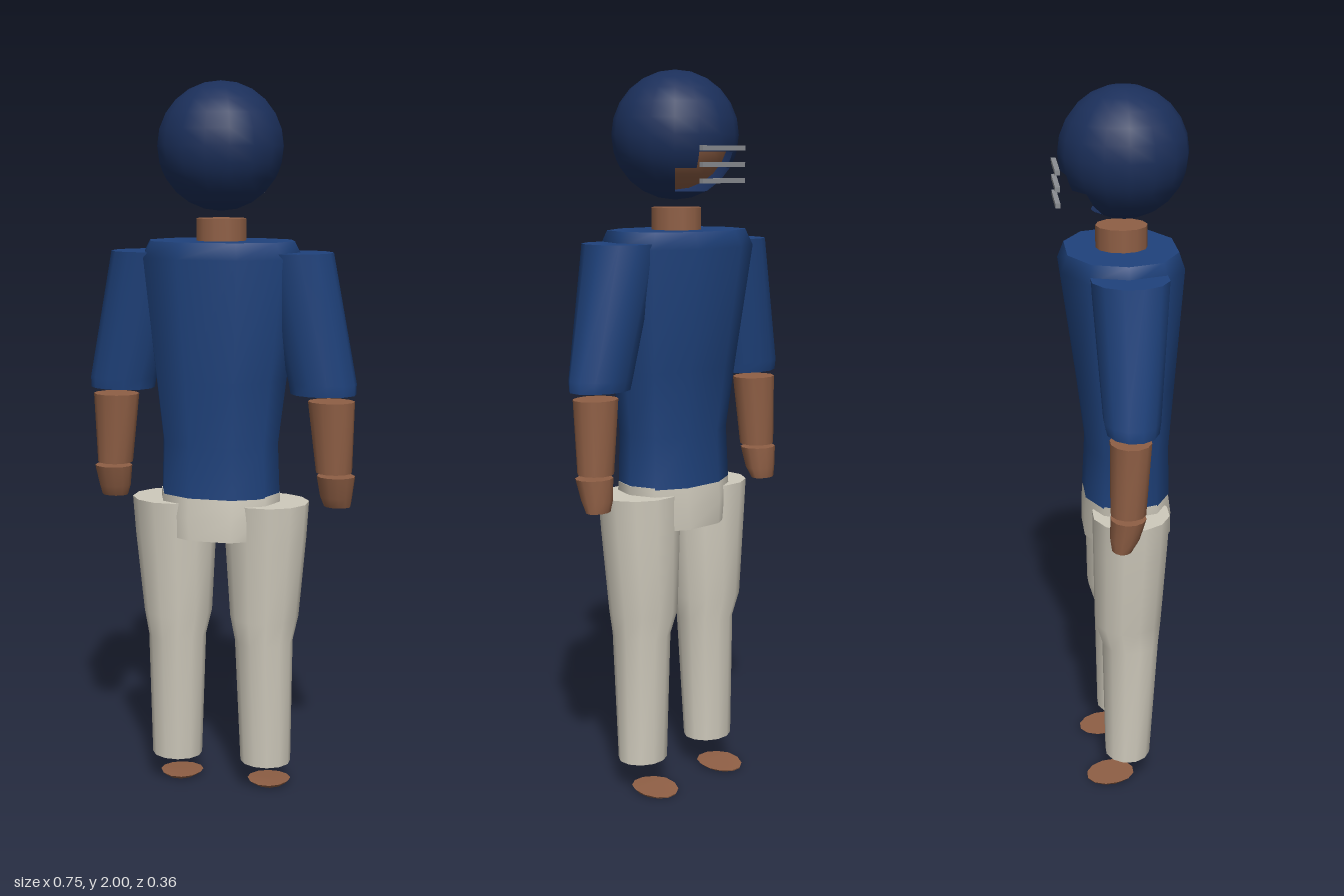
import * as THREE from 'three';
import { mergeGeometries } from 'three/addons/utils/BufferGeometryUtils.js';

const mat = (color) => new THREE.MeshStandardMaterial({ color, side: THREE.DoubleSide });
const jersey = mat(0x1f427c);
const shell = mat(0x1b2f5a);
const skin = mat(0x8f5f45);
const cloth = mat(0xcfcabc);
const metal = mat(0x8a8d92);

// Unit cross-sections as [x, z] pairs
const round = Array.from({ length: 12 }, (_, i) => {
  const t = ((i + 0.5) / 12) * Math.PI * 2;
  return [Math.cos(t) / Math.cos(Math.PI / 12), Math.sin(t) / Math.cos(Math.PI / 12)];
});
const chest = [[1, 0], [0.85, 0.63], [0.36, 1], [-0.36, 1], [-0.85, 0.63],
  [-1, 0], [-0.85, -0.63], [-0.36, -1], [0.36, -1], [0.85, -0.63]];

// Solid through rings [y, xMin, xMax, zMin, zMax], listed bottom to top, with flat caps
function loft(section, rings) {
  const n = section.length, pos = [], idx = [];
  const addRing = ([y, x0, x1, z0, z1]) => section.forEach(([u, v]) =>
    pos.push((x0 + x1) / 2 + (u * (x1 - x0)) / 2, y, (z0 + z1) / 2 + (v * (z1 - z0)) / 2));
  rings.forEach(addRing);
  for (let r = 0; r < rings.length - 1; r++) {
    for (let i = 0; i < n; i++) {
      const a = r * n + i, c = r * n + ((i + 1) % n);
      idx.push(a, a + n, c, a + n, c + n, c);
    }
  }
  [rings[0], rings[rings.length - 1]].forEach((ring, top) => {
    const base = pos.length / 3;
    addRing(ring);
    for (let i = 1; i < n - 1; i++) {
      if (top) idx.push(base, base + i + 1, base + i);
      else idx.push(base, base + i, base + i + 1);
    }
  });
  const geo = new THREE.BufferGeometry();
  geo.setAttribute('position', new THREE.Float32BufferAttribute(pos, 3));
  geo.setIndex(idx);
  geo.computeVertexNormals();
  return geo;
}

// Helmet shell: bands of a sphere, the middle ones leaving a stepped face opening at -z
function helmetGeometry(r) {
  const d = Math.PI / 180;
  const band = (from, to, halfGap) => new THREE.SphereGeometry(r, 16 - halfGap / 11.25, (to - from) / 15,
    (270 + halfGap) * d, (360 - 2 * halfGap) * d, from * d, (to - from) * d);
  return mergeGeometries([band(0, 105, 0), band(105, 120, 22.5), band(120, 150, 45), band(150, 180, 0)]);
}

export function createModel() {
  const model = new THREE.Group();
  const add = (name, geo, material, parent = model) => {
    const mesh = new THREE.Mesh(geo, material);
    mesh.name = name;
    parent.add(mesh);
    return mesh;
  };

  // Head, helmet and face guard
  const head = new THREE.Group();
  head.name = 'head';
  head.position.set(0, 1.828, 0.005);
  model.add(head);
  add('helmet', helmetGeometry(0.173), shell, head);
  add('face', new THREE.SphereGeometry(0.146, 16, 12), skin, head);
  [1.793, 1.75, 1.708].forEach((y) => {
    add('faceGuardBar', new THREE.BoxGeometry(0.162, 0.013, 0.013), metal).position.set(0, y, -0.173);
  });

  // Neck, torso and pelvis
  add('neck', new THREE.CylinderGeometry(0.07, 0.07, 0.085, 12), skin).position.y = 1.5925;
  add('torso', loft(chest, [
    [0.875, -0.17, 0.17, -0.107, 0.126],
    [1.02, -0.165, 0.165, -0.1, 0.124],
    [1.2, -0.187, 0.187, -0.122, 0.137],
    [1.53, -0.228, 0.228, -0.167, 0.16],
    [1.575, -0.205, 0.205, -0.15, 0.145],
  ]), jersey);
  add('pelvis', loft(chest, [
    [0.757, -0.16, 0.16, -0.11, 0.133],
    [0.82, -0.172, 0.172, -0.11, 0.132],
    [0.88, -0.172, 0.172, -0.105, 0.124],
  ]), cloth);

  // Arms, legs and feet, mirrored
  for (const s of [1, -1]) {
    const limb = (name, rings, material) => add((s > 0 ? 'left' : 'right') + name,
      loft(round, rings.map(([y, a, b, z0, z1]) => [y, s > 0 ? a : -b, s > 0 ? b : -a, z0, z1])), material);
    limb('Sleeve', [
      [1.16, 0.2, 0.377, -0.07, 0.066],
      [1.19, 0.195, 0.377, -0.076, 0.07],
      [1.545, 0.11, 0.308, -0.1, 0.1],
    ], jersey);
    limb('Forearm', [
      [0.94, 0.27, 0.367, -0.062, 0.03],
      [1.14, 0.247, 0.373, -0.062, 0.045],
    ], skin);
    limb('Hand', [
      [0.84, 0.29, 0.362, -0.06, -0.006],
      [0.87, 0.28, 0.367, -0.064, 0.012],
      [0.93, 0.272, 0.376, -0.062, 0.03],
    ], skin);
    limb('Leg', [
      [0.085, 0.062, 0.202, -0.06, 0.066],
      [0.45, 0.048, 0.207, -0.067, 0.089],
      [0.52, 0.033, 0.221, -0.088, 0.095],
      [0.75, 0.02, 0.242, -0.091, 0.11],
      [0.855, 0.02, 0.249, -0.093, 0.116],
    ], cloth);
    // Thin wedge sloping down toward the toe
    const foot = limb('Foot', [
      [0, 0.085, 0.183, -0.115, 0.005],
      [0.012, 0.072, 0.192, -0.115, 0.02],
    ], skin);
    const p = foot.geometry.attributes.position;
    for (let i = 0; i < p.count; i++) {
      if (p.getY(i) > 0) p.setY(i, 0.012 - 0.009 * Math.max(0, (-0.03 - p.getZ(i)) / 0.085));
    }
    foot.geometry.computeVertexNormals();
  }
  return model;
}
